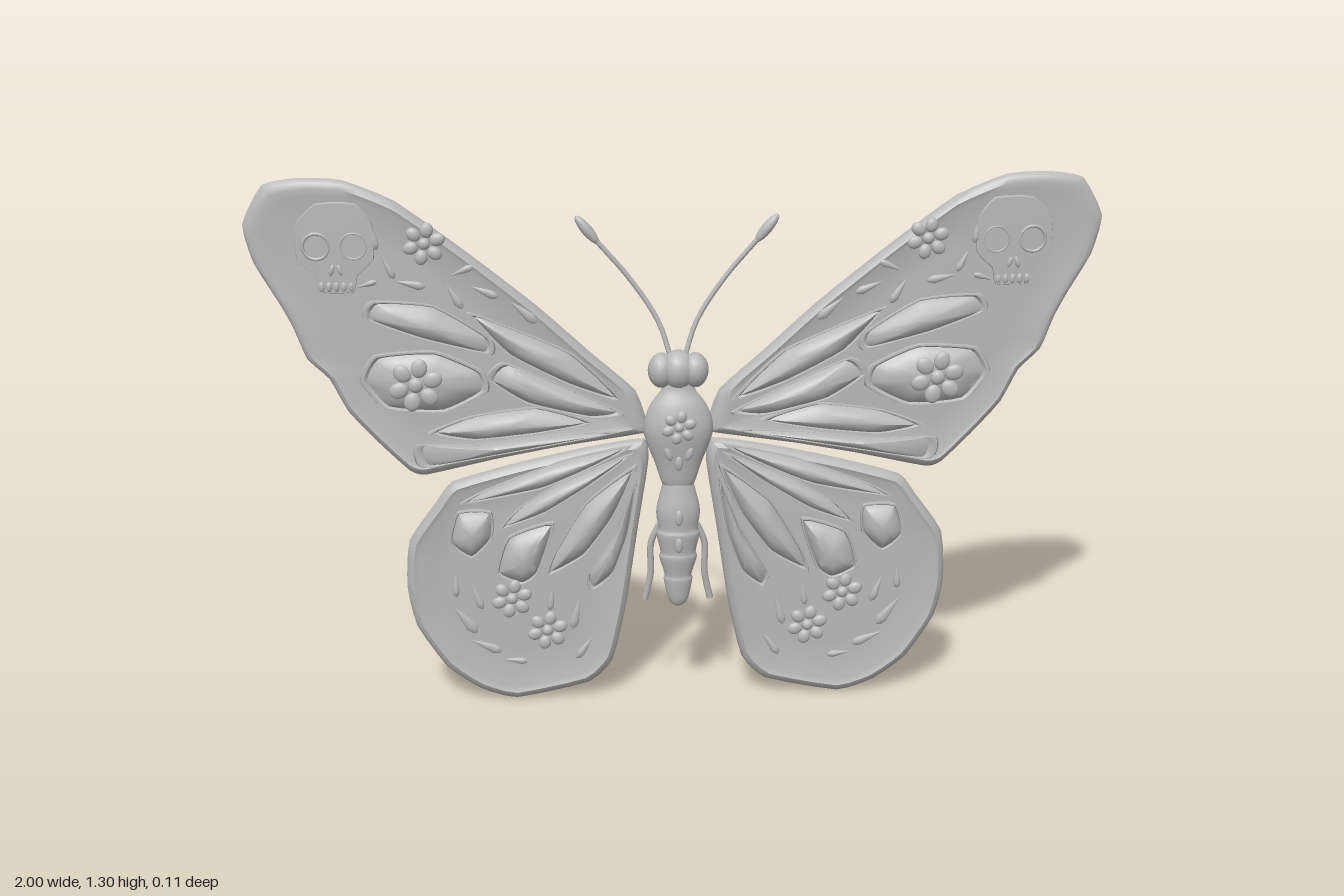
import * as THREE from 'three';
import { toCreasedNormals } from 'three/addons/utils/BufferGeometryUtils.js';

const grey = new THREE.MeshStandardMaterial({ color: 0xb8b8b8 });
grey.name = 'plain grey';
const BACK = -0.04;

// Outlines as x, y pairs for the left (+x) side
const UPPER = [0.07, 0.7, 0.1, 0.79, 0.2, 0.88, 0.33, 1.0, 0.49, 1.13, 0.65, 1.25, 0.77, 1.3, 0.87, 1.305, 0.95, 1.29,
  1.0, 1.2, 0.98, 1.11, 0.93, 1.02, 0.9, 0.96, 0.87, 0.88, 0.82, 0.83, 0.78, 0.75, 0.71, 0.67, 0.64, 0.6, 0.6, 0.59,
  0.44, 0.625, 0.28, 0.655, 0.08, 0.685];
const LOWER = [0.08, 0.67, 0.22, 0.65, 0.38, 0.615, 0.54, 0.57, 0.58, 0.52, 0.65, 0.42, 0.66, 0.3, 0.64, 0.2, 0.57, 0.09,
  0.49, 0.03, 0.4, 0.002, 0.22, 0.04, 0.16, 0.1, 0.125, 0.25, 0.095, 0.45, 0.07, 0.61];
const UPPER_CELLS = [
  [0.13, 0.77, 0.25, 0.89, 0.43, 0.97, 0.49, 0.99, 0.4, 0.89, 0.25, 0.81],
  [0.44, 0.93, 0.57, 1.01, 0.71, 1.02, 0.73, 0.98, 0.6, 0.93, 0.44, 0.89],
  [0.46, 0.85, 0.57, 0.9, 0.71, 0.89, 0.745, 0.83, 0.69, 0.76, 0.55, 0.75, 0.45, 0.8],
  [0.13, 0.74, 0.27, 0.81, 0.41, 0.87, 0.45, 0.83, 0.36, 0.77, 0.2, 0.73],
  [0.2, 0.72, 0.33, 0.76, 0.49, 0.74, 0.59, 0.7, 0.49, 0.68, 0.33, 0.695],
  [0.14, 0.695, 0.3, 0.69, 0.47, 0.67, 0.62, 0.67, 0.61, 0.615, 0.45, 0.64],
];
const LOWER_CELLS = [
  [0.11, 0.66, 0.28, 0.625, 0.46, 0.555, 0.52, 0.52, 0.33, 0.555, 0.2, 0.61],
  [0.11, 0.64, 0.28, 0.57, 0.38, 0.51, 0.43, 0.455, 0.33, 0.49, 0.2, 0.57],
  [0.45, 0.5, 0.53, 0.5, 0.55, 0.42, 0.5, 0.38, 0.45, 0.43],
  [0.1, 0.61, 0.22, 0.52, 0.3, 0.39, 0.32, 0.33, 0.23, 0.38, 0.15, 0.49],
  [0.3, 0.47, 0.41, 0.435, 0.44, 0.34, 0.38, 0.31, 0.34, 0.34],
  [0.1, 0.57, 0.15, 0.45, 0.22, 0.33, 0.21, 0.29, 0.16, 0.33, 0.12, 0.44],
];
// Raised drops: x, y, length, angle
const DROPS = [
  [0.36, 0.99, 0.08, 0.7], [0.45, 1.04, 0.07, 0.4], [0.52, 1.03, 0.07, 1.0], [0.5, 1.09, 0.06, -0.4],
  [0.62, 1.06, 0.07, 0.2], [0.67, 1.1, 0.06, 1.1], [0.72, 1.06, 0.05, -0.3], [0.7, 1.17, 0.06, 1.4],
  [0.49, 0.28, 0.07, 1.2], [0.52, 0.22, 0.09, 0.9], [0.47, 0.15, 0.08, 0.4], [0.4, 0.11, 0.06, 0.1],
  [0.25, 0.23, 0.08, 1.8], [0.23, 0.14, 0.07, 2.2], [0.54, 0.31, 0.06, 1.6], [0.31, 0.27, 0.06, 1.7],
];

// Front level of the wing sheet, thinner towards the tip
const surface = (x) => -0.015 - 0.013 * THREE.MathUtils.clamp((Math.abs(x) - 0.6) / 0.35, 0, 1);

const mesh = (geo, name) => {
  const m = new THREE.Mesh(geo, grey);
  m.name = name;
  return m;
};

// Shell made of rings shrinking towards the centre; rings are [scale, height], zAt gives z
function ringShell(flat, side, per, rings, zAt, closedBack) {
  let pts = [];
  for (let i = 0; i < flat.length; i += 2) pts.push(new THREE.Vector3(side * flat[i], flat[i + 1], 0));
  if (THREE.ShapeUtils.isClockWise(pts)) pts.reverse();
  const n = pts.length * per;
  const curve = new THREE.CatmullRomCurve3(pts, true, 'catmullrom', 0.25);
  pts = Array.from({ length: n }, (_, i) => curve.getPoint(i / n));
  const c = pts.reduce((a, p) => a.add(p), new THREE.Vector3()).divideScalar(n);
  const pos = [], idx = [];
  for (const [s, h] of rings) {
    for (const p of pts) {
      const x = c.x + (p.x - c.x) * s, y = c.y + (p.y - c.y) * s;
      pos.push(x, y, zAt(x, h));
    }
  }
  for (let r = 0; r < rings.length - 1; r++) {
    for (let i = 0; i < n; i++) {
      const a = r * n + i, b = r * n + (i + 1) % n;
      idx.push(a, b, b + n, a, b + n, a + n);
    }
  }
  if (closedBack) {
    pos.push(c.x, c.y, BACK);
    for (let i = 0; i < n; i++) idx.push((i + 1) % n, i, rings.length * n);
  }
  const g = new THREE.BufferGeometry();
  g.setAttribute('position', new THREE.Float32BufferAttribute(pos, 3));
  g.setIndex(idx);
  return toCreasedNormals(g, 0.7);
}

const WING_RINGS = [[1, 0], [0.995, 0.45], [0.975, 0.85], [0.94, 1.1], [0.9, 0.9], [0.6, 1], [0.3, 1], [0.001, 1]];
const CELL_RINGS = [[1.03, -0.003], [1, 0.009], [0.95, 0.009], [0.9, 0.003], [0.75, 0.016], [0.45, 0.027], [0.001, 0.031]];

const wing = (outline, side, name) =>
  mesh(ringShell(outline, side, 3, WING_RINGS, (x, h) => BACK + h * (surface(x) - BACK), true), name);
const cell = (outline, side) =>
  mesh(ringShell(outline, side, 4, CELL_RINGS, (x, h) => surface(x) + h, false), 'wingCell');

function blob(name, x, y, z, rx, ry, rz, turn = 0) {
  const m = mesh(new THREE.SphereGeometry(1, 14, 10), name);
  m.position.set(x, y, z);
  m.scale.set(rx, ry, rz);
  m.rotation.z = turn;
  return m;
}

function flower(x, y, z, r) {
  const g = new THREE.Group();
  g.name = 'flower';
  for (let i = 0; i < 6; i++) {
    const a = (i / 6) * Math.PI * 2 + 0.3;
    g.add(blob('petal', x + Math.cos(a) * r * 0.65, y + Math.sin(a) * r * 0.65, z, r * 0.36, r * 0.3, 0.009, a));
  }
  g.add(blob('flowerCentre', x, y, z, r * 0.28, r * 0.28, 0.011));
  return g;
}

// Tapered teardrop lying on the wing
function drop(side, [x, y, len, angle]) {
  const profile = [[0, -0.5], [0.1, -0.42], [0.15, -0.25], [0.1, 0.05], [0.04, 0.35], [0, 0.5]];
  const m = mesh(new THREE.LatheGeometry(profile.map(([a, b]) => new THREE.Vector2(a, b)), 10), 'drop');
  m.position.set(side * x, y, surface(x));
  m.scale.set(len, len, 0.045);
  m.rotation.z = side * (angle - Math.PI / 2);
  return m;
}

// Low mask ornament near the wing tip
function mask(side) {
  const g = new THREE.Group();
  g.name = 'tipMask';
  const x = side * 0.79, z = surface(0.79);
  const face = [0.7, 1.2, 0.74, 1.25, 0.83, 1.25, 0.88, 1.2, 0.88, 1.12, 0.84, 1.08, 0.83, 1.04, 0.75, 1.04, 0.74, 1.08, 0.7, 1.12];
  g.add(mesh(ringShell(face, side, 3, [[1, -0.004], [0.97, 0.004], [0.6, 0.005], [0.001, 0.006]], (px, h) => surface(px) + h, false), 'maskFace'));
  for (const e of [-1, 1]) {
    const ring = mesh(new THREE.TorusGeometry(0.03, 0.004, 6, 24), 'eyeRing');
    ring.position.set(x + e * 0.043, 1.15, z + 0.004);
    g.add(ring);
    g.add(blob('nostril', x + e * 0.009, 1.095, z + 0.004, 0.006, 0.014, 0.005, e * 0.3));
  }
  for (let i = -2; i <= 2; i++) g.add(blob('tooth', x + i * 0.017, 1.055, z + 0.003, 0.007, 0.012, 0.005));
  return g;
}

const tube = (pts, r, name) =>
  mesh(new THREE.TubeGeometry(new THREE.CatmullRomCurve3(pts.map((p) => new THREE.Vector3(...p))), 14, r, 8), name);

function lathe(profile, depth, z, name) {
  const curve = new THREE.SplineCurve(profile.map(([r, y]) => new THREE.Vector2(r, y)));
  const pts = curve.getPoints(profile.length * 3).map((p) => p.set(Math.max(p.x, 0), p.y));
  const m = mesh(new THREE.LatheGeometry(pts, 28), name);
  m.scale.z = depth;
  m.position.z = z;
  return m;
}

export function createModel() {
  const model = new THREE.Group();
  model.name = 'butterfly';

  // Wings with raised cells and ornaments, then paired feelers and tail legs
  for (const side of [1, -1]) {
    const g = new THREE.Group();
    g.name = side > 0 ? 'leftSide' : 'rightSide';
    g.add(wing(UPPER, side, 'upperWing'), wing(LOWER, side, 'lowerWing'));
    for (const c of [...UPPER_CELLS, ...LOWER_CELLS]) g.add(cell(c, side));
    for (const d of DROPS) g.add(drop(side, d));
    g.add(flower(side * 0.615, 0.825, 0.014, 0.064), flower(side * 0.585, 1.155, -0.012, 0.05));
    g.add(flower(side * 0.405, 0.275, -0.01, 0.05), flower(side * 0.32, 0.19, -0.01, 0.05));
    g.add(mask(side));

    g.add(tube([[side * 0.015, 0.87, -0.015], [side * 0.045, 0.96, -0.03], [side * 0.11, 1.06, -0.039], [side * 0.195, 1.16, -0.04]], 0.006, 'antenna'));
    g.add(blob('antennaClub', side * 0.21, 1.178, -0.04, 0.013, 0.042, 0.013, -side * 0.68));
    g.add(tube([[side * 0.045, 0.46, -0.015], [side * 0.065, 0.41, -0.02], [side * 0.066, 0.33, -0.025], [side * 0.08, 0.26, -0.03]], 0.008, 'tailLeg'));
    g.add(blob('eye', side * 0.04, 0.85, 0.003, 0.032, 0.042, 0.034));
    model.add(g);
  }

  // Body
  model.add(blob('head', 0, 0.85, 0, 0.042, 0.048, 0.04));
  model.add(lathe([[0, 0.55], [0.035, 0.565], [0.055, 0.62], [0.083, 0.7], [0.07, 0.76], [0.042, 0.8], [0.03, 0.83], [0, 0.84]], 0.54, 0.003, 'thorax'));
  model.add(lathe([[0, 0.25], [0.022, 0.265], [0.035, 0.32], [0.033, 0.335], [0.046, 0.38], [0.043, 0.395], [0.053, 0.44], [0.048, 0.455],
    [0.053, 0.5], [0.042, 0.55], [0.035, 0.58]], 0.7, -0.003, 'abdomen'));
  model.add(flower(0, 0.72, 0.044, 0.042));
  for (const [x, y, z] of [[-0.025, 0.655, 0.035], [0.025, 0.655, 0.035], [0, 0.63, 0.034], [0, 0.49, 0.032], [0, 0.42, 0.031]]) {
    model.add(blob('bodyDrop', x, y, z, 0.01, 0.02, 0.007, -x * 12));
  }
  return model;
}
